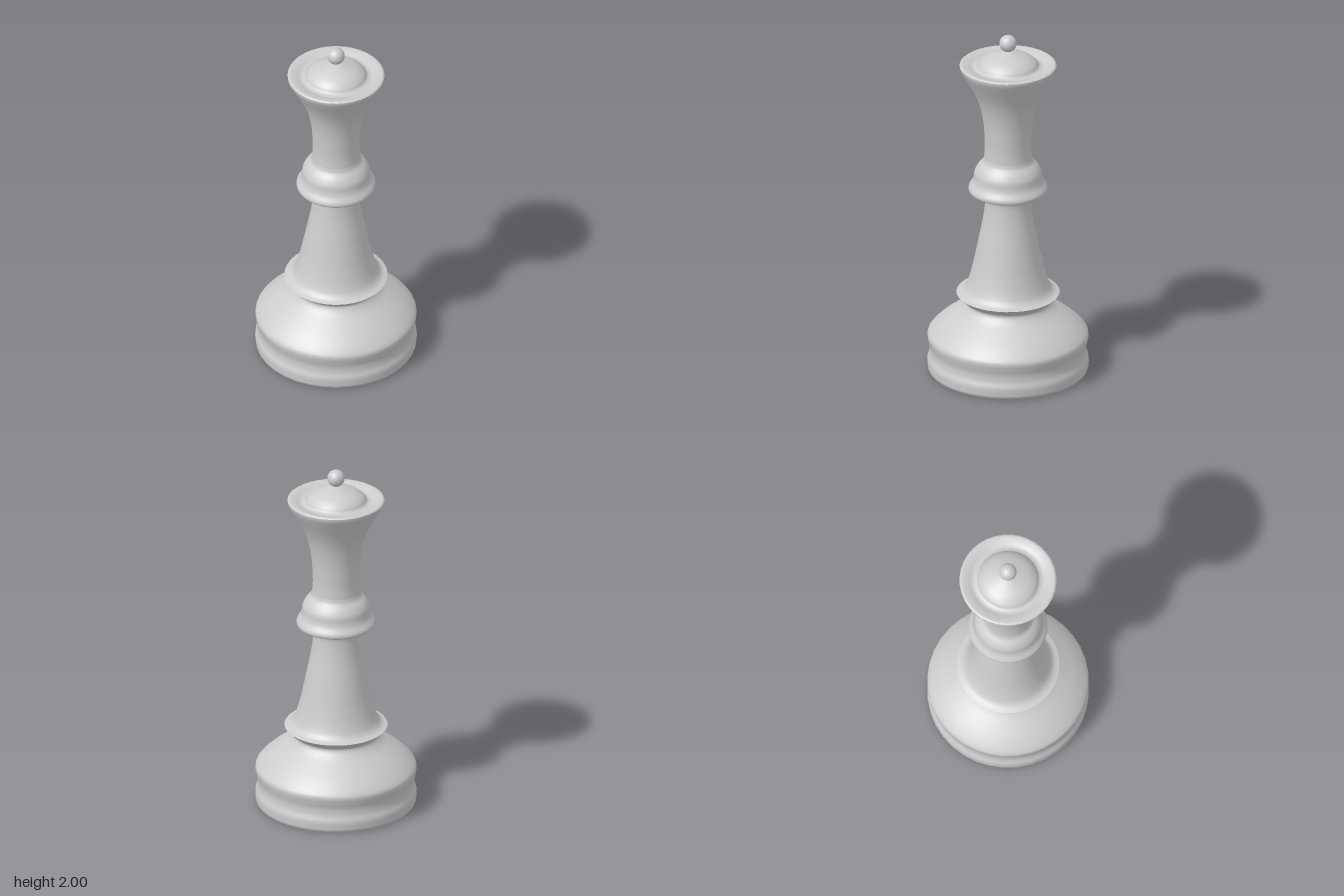
import * as THREE from 'three';

const SIDES = 36;

// Smooth turned section through [radius, height] points, listed bottom to top
function turned(name, points, material, samples = 4) {
  const curve = new THREE.CatmullRomCurve3(
    points.map(([r, y]) => new THREE.Vector3(r, y, 0)), false, 'centripetal');
  const profile = curve.getPoints((points.length - 1) * samples)
    .map((p) => new THREE.Vector2(Math.max(p.x, 0), p.y));
  const mesh = new THREE.Mesh(new THREE.LatheGeometry(profile, SIDES), material);
  mesh.name = name;
  return mesh;
}

export function createModel() {
  const model = new THREE.Group();
  model.name = 'chessPiece';
  const grey = new THREE.MeshStandardMaterial({ color: 0xcccccc, side: THREE.DoubleSide });
  grey.name = 'lightGrey';

  // Open underside lip, then the double-banded foot and its shoulder
  model.add(turned('footLip', [[0.405, 0.004], [0.425, 0], [0.437, 0.006], [0.443, 0.02]], grey, 2));
  model.add(turned('base', [
    [0.443, 0.02], [0.444, 0.065], [0.433, 0.1], [0.431, 0.14], [0.439, 0.175], [0.444, 0.205],
    [0.438, 0.225], [0.385, 0.28], [0.32, 0.33], [0.26, 0.375], [0.238, 0.405],
    [0.24, 0.42], [0.26, 0.437], [0.284, 0.46],
  ], grey));

  // Flange top sweeping up into the tapered stem
  model.add(turned('stem', [
    [0.284, 0.46], [0.255, 0.472], [0.232, 0.5], [0.2, 0.6], [0.178, 0.7], [0.158, 0.8],
    [0.142, 0.88], [0.131, 0.95], [0.126, 1.02], [0.133, 1.042], [0.15, 1.053], [0.2, 1.064],
  ], grey));

  // Rounded collar
  model.add(turned('collar', [
    [0.2, 1.064], [0.215, 1.073], [0.217, 1.092], [0.197, 1.125], [0.189, 1.15],
    [0.184, 1.185], [0.165, 1.22], [0.14, 1.248], [0.132, 1.272],
  ], grey));

  // Flared head with a sharp rim
  model.add(turned('head', [
    [0.132, 1.272], [0.128, 1.33], [0.13, 1.4], [0.136, 1.48], [0.15, 1.56], [0.172, 1.63],
    [0.203, 1.695], [0.24, 1.76], [0.264, 1.805], [0.267, 1.822],
  ], grey));

  // Slightly hollowed crown top rising into the dome
  model.add(turned('crownTop', [
    [0.267, 1.822], [0.258, 1.828], [0.225, 1.822], [0.195, 1.812], [0.172, 1.818],
    [0.158, 1.838], [0.125, 1.864], [0.07, 1.887], [0.03, 1.9], [0, 1.905],
  ], grey));

  // Finial ball
  const ball = new THREE.Mesh(new THREE.SphereGeometry(0.048, 28, 18), grey);
  ball.name = 'finialBall';
  ball.position.y = 1.952;
  model.add(ball);

  return model;
}
